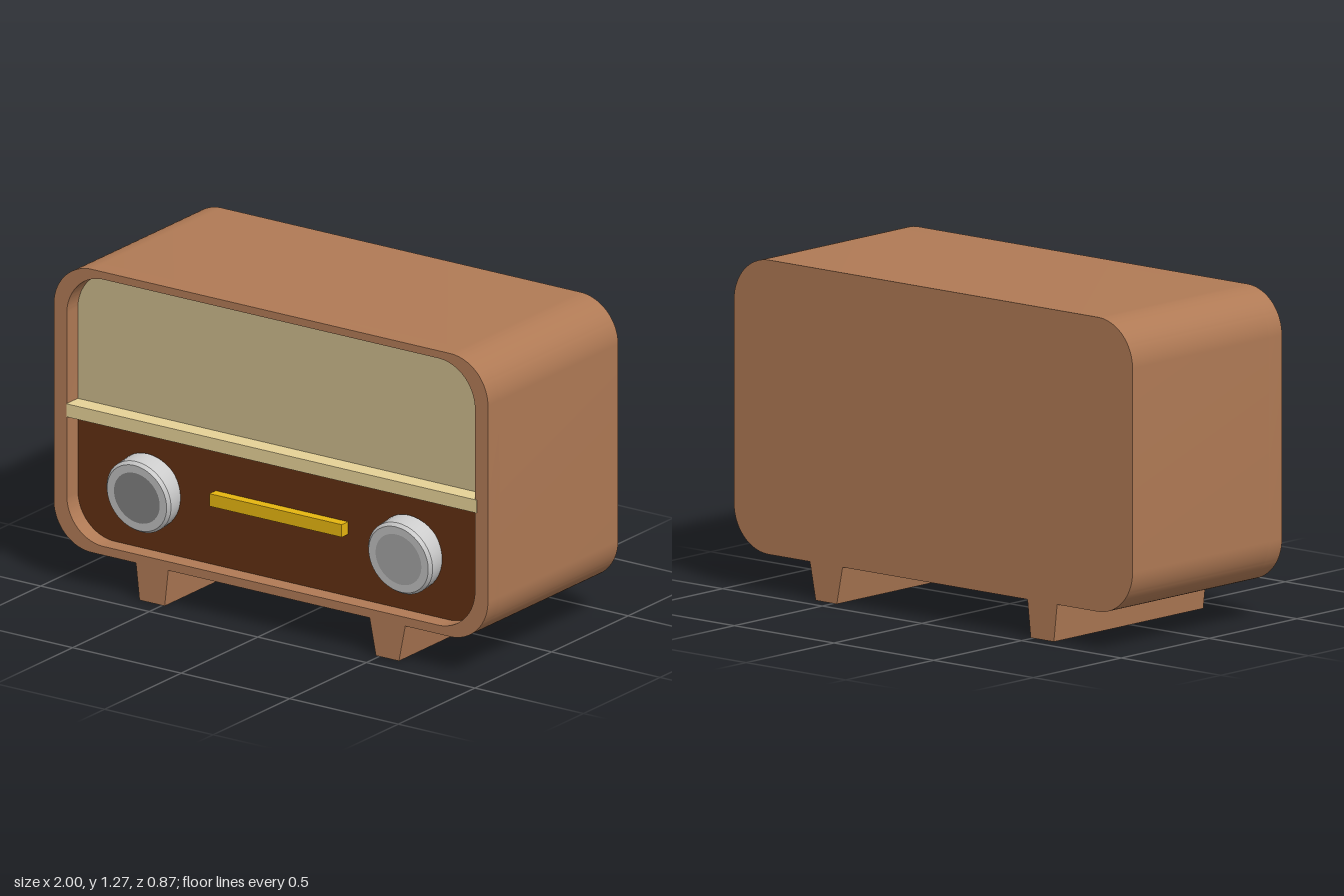
import * as THREE from 'three';
import { toCreasedNormals } from 'three/addons/utils/BufferGeometryUtils.js';

const BACK = -0.435, PANEL = 0.34, FRONT = 0.415;

const paint = (color) => new THREE.MeshStandardMaterial({ color });
const wood = paint(0xb07a55), cloth = paint(0xc9b88a), darkWood = paint(0x602f12);
const cream = paint(0xe6d196), gold = paint(0xe6b510), grey = paint(0xcccccc);

// Rectangle with separate radii for the top and bottom corners
function roundedRect(x, y0, y1, rTop, rBottom, Type = THREE.Shape) {
  const s = new Type();
  s.moveTo(-x + rBottom, y0);
  s.lineTo(x - rBottom, y0);
  if (rBottom) s.absarc(x - rBottom, y0 + rBottom, rBottom, -Math.PI / 2, 0);
  s.lineTo(x, y1 - rTop);
  if (rTop) s.absarc(x - rTop, y1 - rTop, rTop, 0, Math.PI / 2);
  s.lineTo(-x + rTop, y1);
  if (rTop) s.absarc(-x + rTop, y1 - rTop, rTop, Math.PI / 2, Math.PI);
  s.lineTo(-x, y0 + rBottom);
  if (rBottom) s.absarc(-x + rBottom, y0 + rBottom, rBottom, Math.PI, Math.PI * 1.5);
  return s;
}

// Extrude a shape between two depths, smooth round the corners
function slab(shape, z0, z1) {
  const g = new THREE.ExtrudeGeometry(shape, { depth: z1 - z0, bevelEnabled: false, curveSegments: 16 });
  g.translate(0, 0, z0);
  return toCreasedNormals(g, 0.6);
}

function createKnob(capColor) {
  const knob = new THREE.Group();
  const profile = [[0.148, 0], [0.148, 0.075], [0.137, 0.088], [0.105, 0.088]]
    .map(([r, h]) => new THREE.Vector2(r, h));
  const ring = toCreasedNormals(new THREE.LatheGeometry(profile, 40).rotateX(Math.PI / 2), 0.5);
  const cap = new THREE.CircleGeometry(0.105, 40).translate(0, 0, 0.088);
  for (const [name, geo, mat] of [['knobRing', ring, grey], ['knobCap', cap, paint(capColor)]]) {
    const mesh = new THREE.Mesh(geo, mat);
    mesh.name = name;
    knob.add(mesh);
  }
  knob.rotation.x = 0.13;
  return knob;
}

export function createModel() {
  const model = new THREE.Group();
  model.name = 'tableRadio';
  const add = (name, geometry, material) => {
    const mesh = new THREE.Mesh(geometry, material);
    mesh.name = name;
    model.add(mesh);
    return mesh;
  };

  // Cabinet with a raised rim around the recessed front
  const outline = () => roundedRect(1, 0.145, 1.275, 0.175, 0.175);
  add('cabinet', slab(outline(), BACK, PANEL), wood);
  const rim = outline();
  rim.holes.push(roundedRect(0.94, 0.18, 1.245, 0.17, 0.17, THREE.Path));
  add('frontRim', slab(rim, PANEL, FRONT), wood);

  // Speaker cloth above, control panel below
  add('speakerCloth', slab(roundedRect(0.94, 0.69, 1.245, 0.17, 0), PANEL - 0.01, PANEL + 0.003), cloth);
  add('controlPanel', slab(roundedRect(0.94, 0.18, 0.69, 0, 0.17), PANEL - 0.01, PANEL + 0.003), darkWood);

  // Trim strip and tuning bar
  add('trimStrip', new THREE.BoxGeometry(1.89, 0.052, 0.08), cream).position.set(0.005, 0.69, 0.378);
  add('tuningBar', new THREE.BoxGeometry(0.61, 0.05, 0.045), gold).position.set(0, 0.452, 0.362);

  // Control knobs, tilted slightly downward
  for (const [name, x, color] of [['rightKnob', -0.615, 0x888888], ['leftKnob', 0.59, 0xadadad]]) {
    const knob = createKnob(color);
    knob.name = name;
    knob.position.set(x, 0.417, 0.331);
    model.add(knob);
  }

  // Tapered feet running the full depth
  for (const [name, x, top, bottom] of [['rightFoot', -0.547, 0.075, 0.058], ['leftFoot', 0.537, 0.083, 0.053]]) {
    const foot = new THREE.Shape([[-bottom, 0], [bottom, 0], [top, 0.15], [-top, 0.15]]
      .map(([px, py]) => new THREE.Vector2(x + px, py)));
    add(name, slab(foot, BACK, FRONT), wood);
  }
  return model;
}
